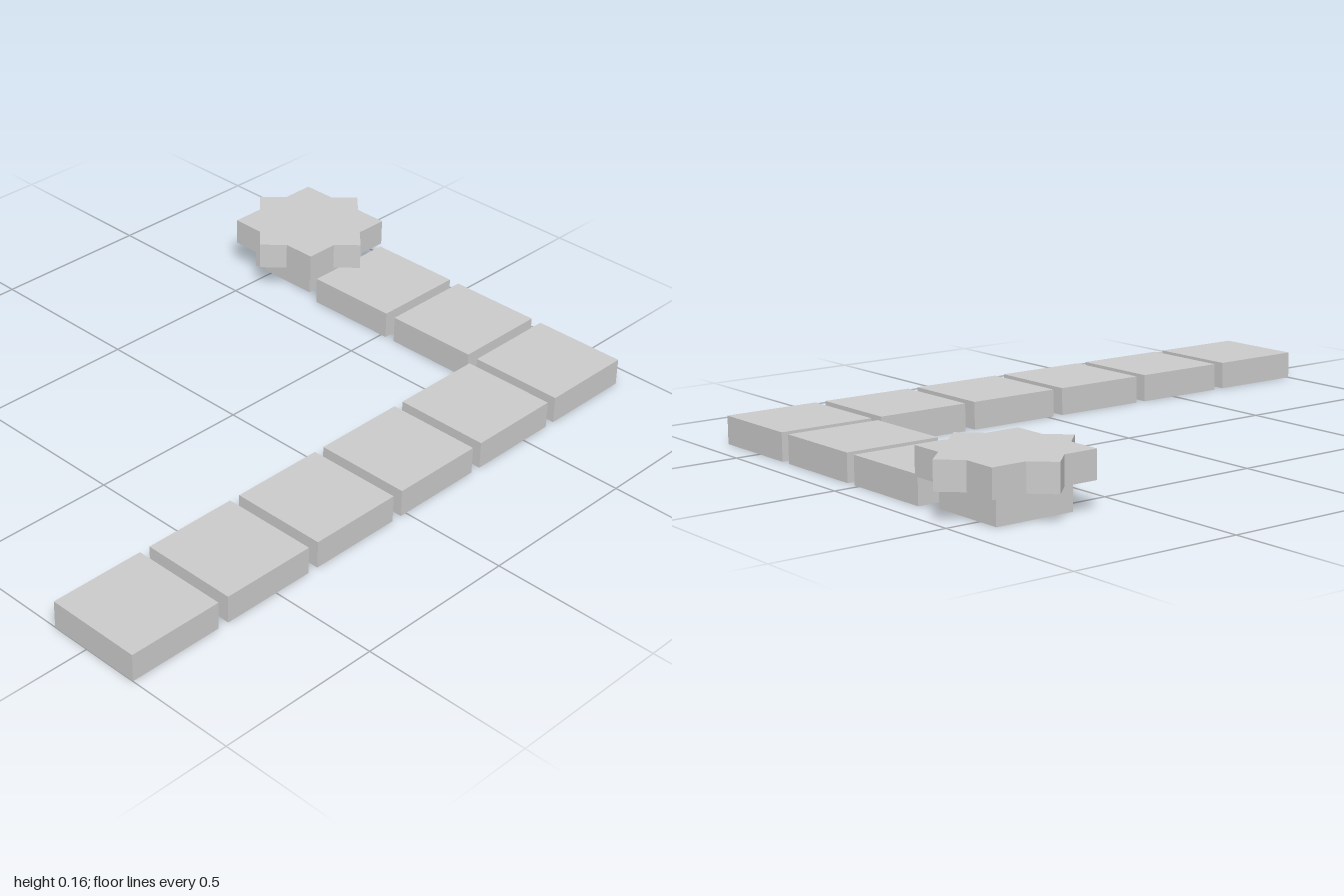
import * as THREE from 'three';

const TILE = 0.293, STEP = 0.3266, H = 0.083;

export function createModel() {
  const model = new THREE.Group();
  const mat = new THREE.MeshStandardMaterial({ color: 0xcccccc, flatShading: true });
  const openMat = new THREE.MeshStandardMaterial({ color: 0xcccccc, flatShading: true, side: THREE.DoubleSide });

  const add = (name, geometry, material, x, y, z) => {
    const mesh = new THREE.Mesh(geometry, material);
    mesh.name = name;
    mesh.position.set(x, y, z);
    model.add(mesh);
    return mesh;
  };

  // L-shaped path of square tiles: a long arm along z, then a short arm along x
  const tile = new THREE.BoxGeometry(TILE, H, TILE);
  const x0 = 0.525, z0 = 1 - TILE / 2, zCorner = z0 - 5 * STEP;
  for (let i = 0; i < 6; i++) add('longArmTile', tile, mat, x0, H / 2, z0 - i * STEP);
  for (let i = 1; i < 3; i++) add('shortArmTile', tile, mat, x0 - i * STEP, H / 2, zCorner);

  // Hollow square pedestal, open underneath
  const pedestal = new THREE.CylinderGeometry(0.12 * Math.SQRT2, 0.12 * Math.SQRT2, H, 4, 1, true);
  pedestal.rotateY(Math.PI / 4);
  add('starPedestal', pedestal, openMat, -0.45, H / 2, zCorner);

  // Eight-pointed star: a square overlapped by a diamond
  const r = 0.222, s = 0.163, n = r - s;
  const points = [];
  for (let k = 0; k < 4; k++) {
    for (const [x, y] of [[r, 0], [s, n], [s, s], [n, s]]) {
      points.push(new THREE.Vector2(x, y).rotateAround(new THREE.Vector2(), k * Math.PI / 2));
    }
  }
  const star = new THREE.ExtrudeGeometry(new THREE.Shape(points), { depth: 0.081, bevelEnabled: false });
  star.rotateX(-Math.PI / 2);
  add('starTop', star, mat, -0.45, H, zCorner);

  return model;
}
